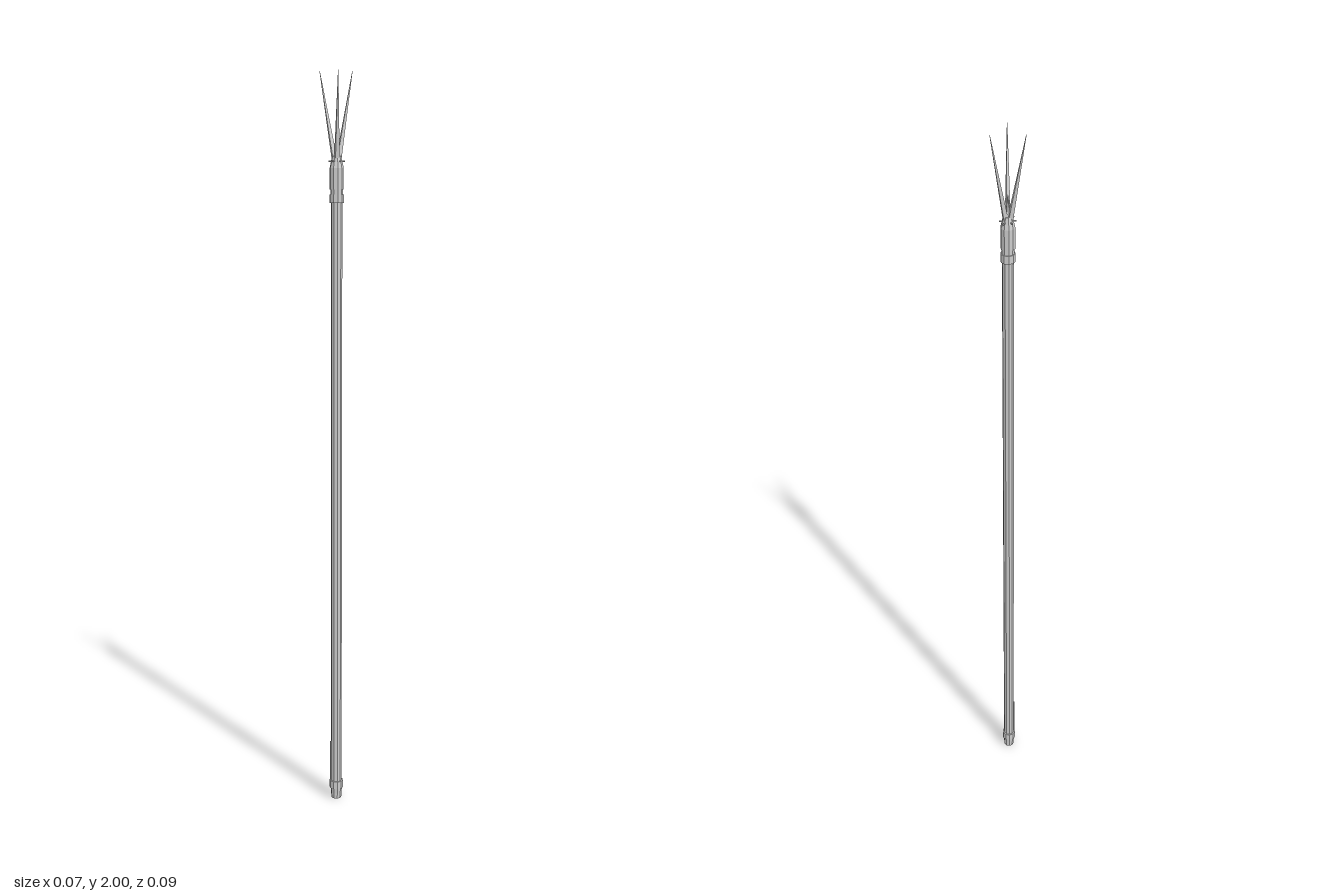
import * as THREE from 'three';

const AXIS_X = 0.012;
const material = new THREE.MeshStandardMaterial({ color: 0xcccccc, flatShading: true });

function add(group, name, geometry, x = 0, y = 0, z = 0) {
  const mesh = new THREE.Mesh(geometry, material);
  mesh.name = name;
  mesh.position.set(x, y, z);
  group.add(mesh);
  return mesh;
}

// Upright cylinder between two heights
function post(group, name, r0, r1, y0, y1, sides = 10) {
  return add(group, name, new THREE.CylinderGeometry(r1, r0, y1 - y0, sides), 0, (y0 + y1) / 2, 0);
}

// Tapered bar from one point to another
function bar(group, name, a, b, r0, r1, sides) {
  const dir = b.clone().sub(a);
  const mesh = add(group, name, new THREE.CylinderGeometry(r1, r0, dir.length(), sides));
  mesh.position.copy(a).add(b).multiplyScalar(0.5);
  mesh.quaternion.setFromUnitVectors(new THREE.Vector3(0, 1, 0), dir.normalize());
  return mesh;
}

export function createModel() {
  const model = new THREE.Group();
  model.name = 'tridentSpear';
  const spear = new THREE.Group();
  spear.name = 'spear';
  spear.position.x = AXIS_X;
  model.add(spear);

  // Shaft, foot and bottom collar
  post(spear, 'shaft', 0.015, 0.015, 0.01, 1.70);
  post(spear, 'foot', 0.014, 0.016, 0, 0.03);
  post(spear, 'bottomCollar', 0.019, 0.019, 0.03, 0.052);

  // Narrow strip along the lower shaft
  const strip = add(spear, 'shaftStrip', new THREE.BoxGeometry(0.005, 0.12, 0.004), -0.0112, 0.11, 0.0112);
  strip.rotation.y = -Math.PI / 4;

  // Socket with its rings
  post(spear, 'lowerRing', 0.019, 0.019, 1.665, 1.687);
  post(spear, 'socket', 0.0165, 0.0165, 1.687, 1.70);
  post(spear, 'socketSleeve', 0.0185, 0.0185, 1.70, 1.755);
  post(spear, 'socketShoulder', 0.0185, 0.012, 1.755, 1.785);

  // Cross pins through the socket top
  [[0, 0.03], [Math.PI / 3, 0.021], [-Math.PI / 3, 0.021]].forEach(([angle, half]) => {
    const end = new THREE.Vector3(Math.sin(angle) * half, 0, Math.cos(angle) * half);
    const mid = new THREE.Vector3(0, 1.772, 0);
    bar(spear, 'crossPin', mid.clone().sub(end), mid.clone().add(end), 0.002, 0.002, 6);
  });

  // Three splayed prongs
  for (let i = 0; i < 3; i++) {
    const a = Math.PI + (i * Math.PI * 2) / 3;
    const at = (r, y) => new THREE.Vector3(Math.cos(a) * r, y, Math.sin(a) * r);
    bar(spear, 'prong', at(0.004, 1.765), at(0.049, 2.0), 0.0085, 0.0006, 4);
  }

  // Short spike between the prongs
  post(spear, 'centreSpike', 0.007, 0.0008, 1.78, 1.84, 6);

  return model;
}
